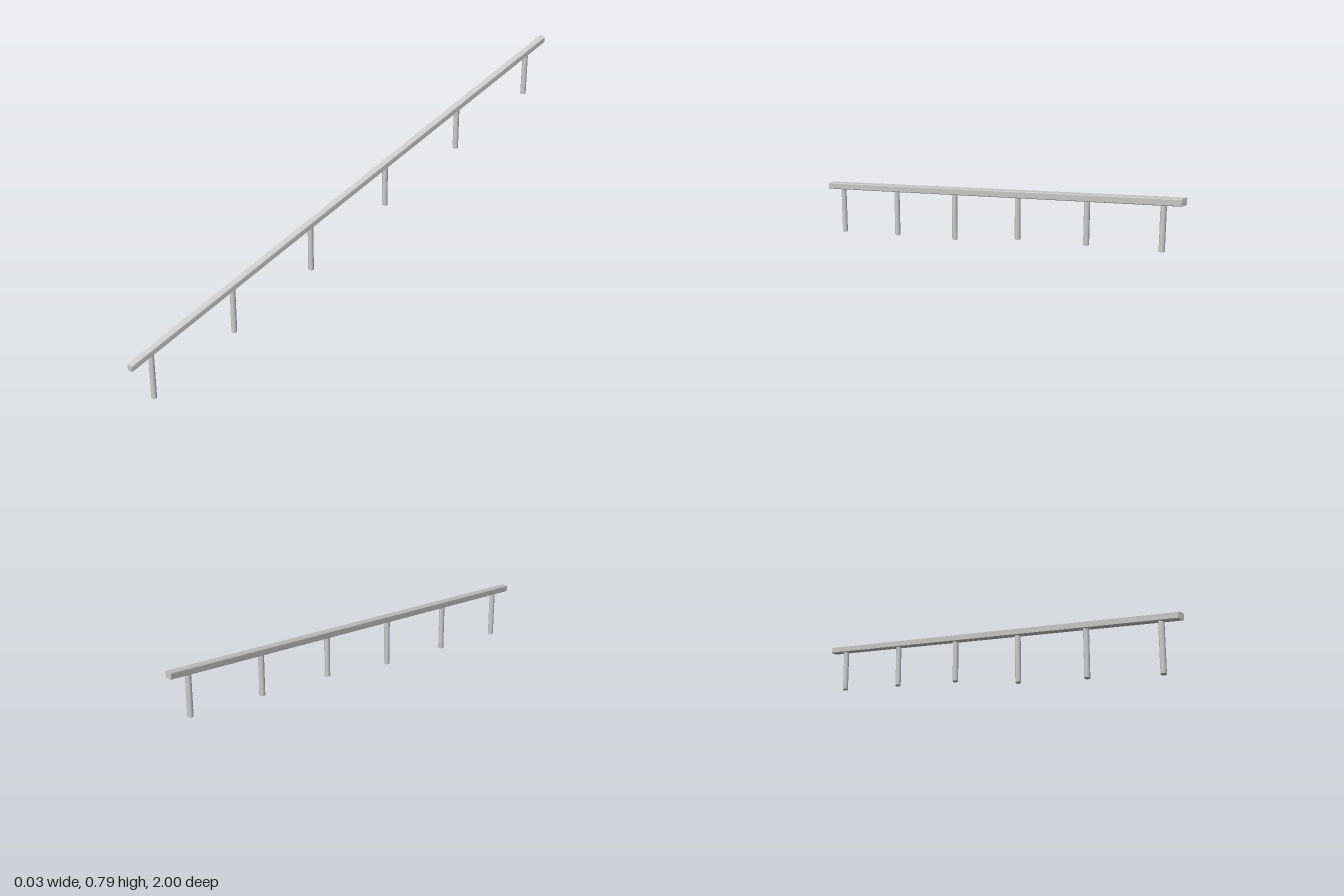
import * as THREE from 'three';

const material = new THREE.MeshStandardMaterial({ color: 0xcccccc });

// Height of the rail's centre line at a given z
const railHeight = (z) => 0.476 - 0.2995 * z;

export function createModel() {
  const model = new THREE.Group();
  model.name = 'handrail';

  // Sloping bar with chamfered edges and upright ends
  const w = 0.0125, h = 0.0135, c = 0.003;
  const section = new THREE.Shape([
    [-w + c, -h], [w - c, -h], [w, -h + c], [w, h - c],
    [w - c, h], [-w + c, h], [-w, h - c], [-w, -h + c],
  ].map(([x, y]) => new THREE.Vector2(x, y)));
  const railGeometry = new THREE.ExtrudeGeometry(section, { depth: 2, bevelEnabled: false });
  railGeometry.translate(0, 0, -1);
  const p = railGeometry.attributes.position;
  for (let i = 0; i < p.count; i++) p.setY(i, p.getY(i) + railHeight(p.getZ(i)));
  railGeometry.computeVertexNormals();
  const rail = new THREE.Mesh(railGeometry, material);
  rail.name = 'rail';
  model.add(rail);

  // Round posts, each standing at its own step height
  [0, 0.113, 0.222, 0.353, 0.461, 0.568].forEach((foot, i) => {
    const z = 0.909 - i * 0.3636;
    const length = railHeight(z) - foot;
    const post = new THREE.Mesh(new THREE.CylinderGeometry(0.0105, 0.0105, length, 16), material);
    post.position.set(0, foot + length / 2, z);
    post.name = `post${i + 1}`;
    model.add(post);
  });

  return model;
}
